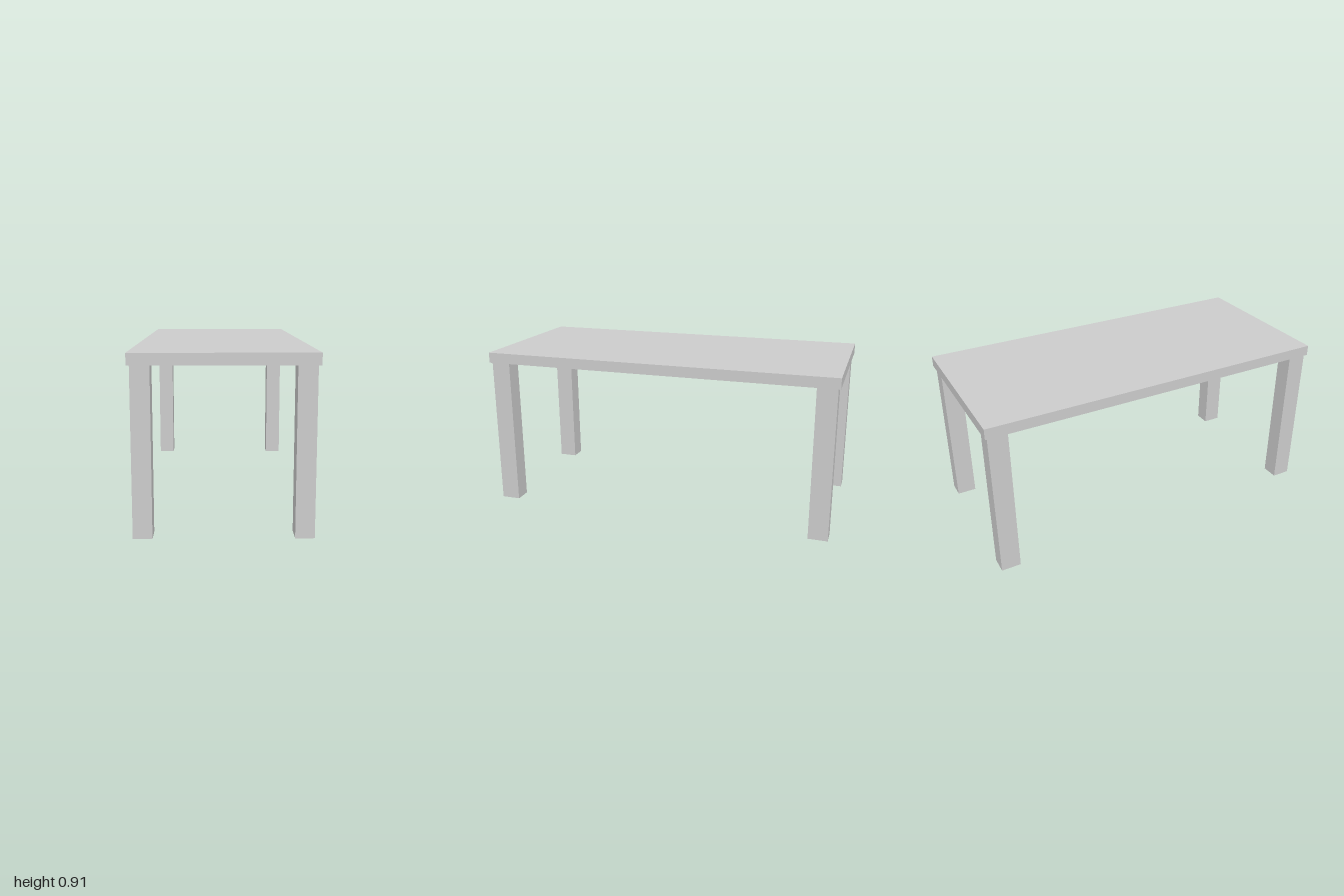
import * as THREE from 'three';

const WIDTH = 0.916, LENGTH = 2, HEIGHT = 0.907, THICKNESS = 0.059;
const LEG_X = 0.096, LEG_Z = 0.108; // leg cross-section
const LEG_HEIGHT = HEIGHT - THICKNESS;

export function createModel() {
  const table = new THREE.Group();
  table.name = 'table';
  const material = new THREE.MeshStandardMaterial({ color: 0xcccccc, flatShading: true });

  const addBox = (name, size, position) => {
    const mesh = new THREE.Mesh(new THREE.BoxGeometry(...size), material);
    mesh.name = name;
    mesh.position.set(...position);
    table.add(mesh);
  };

  // Flat rectangular slab
  addBox('tabletop', [WIDTH, THICKNESS, LENGTH], [0, HEIGHT - THICKNESS / 2, 0]);

  // Four legs, set slightly in from the corners
  for (const [endName, z] of [['front', 0.936], ['back', -0.933]]) {
    for (const [sideName, x] of [['Left', 0.395], ['Right', -0.396]]) {
      addBox(`${endName}${sideName}Leg`, [LEG_X, LEG_HEIGHT, LEG_Z], [x, LEG_HEIGHT / 2, z]);
    }
  }

  return table;
}
